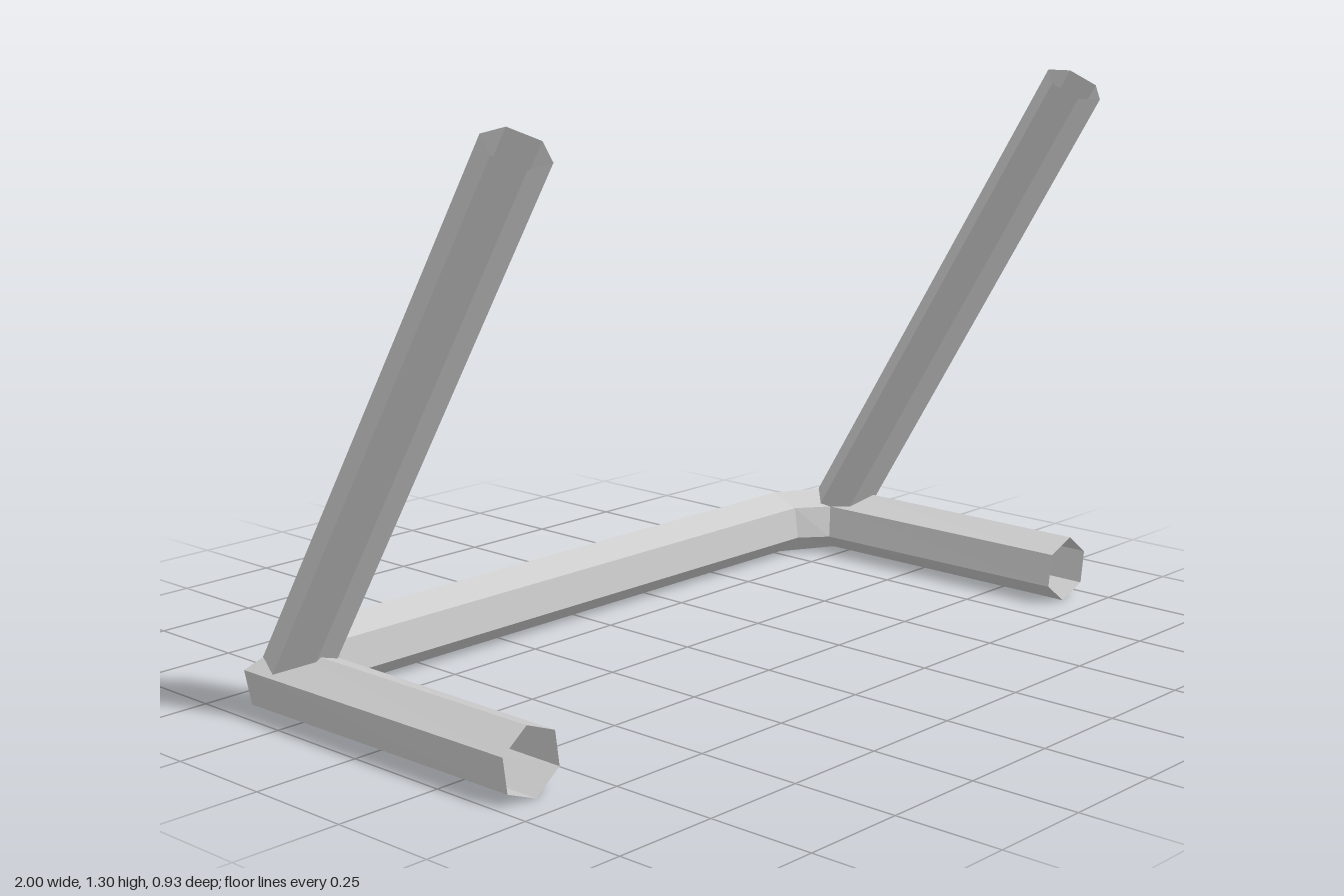
import * as THREE from 'three';

const V = (x, y, z) => new THREE.Vector3(x, y, z);

// Six-sided ring spanned by two axis vectors (their lengths are the radii)
function hexRing(center, u, v, startDeg) {
  return Array.from({ length: 6 }, (_, k) => {
    const a = THREE.MathUtils.degToRad(startDeg + 60 * k);
    return center.clone().addScaledVector(u, Math.cos(a)).addScaledVector(v, Math.sin(a));
  });
}

// Open tube skinned over consecutive rings, with faceted shading
function skin(rings, material, name) {
  const points = [];
  for (let i = 0; i < rings.length - 1; i++) {
    for (let j = 0; j < 6; j++) {
      const k = (j + 1) % 6;
      const [a, b, c, d] = [rings[i][j], rings[i][k], rings[i + 1][k], rings[i + 1][j]];
      points.push(a, b, c, a, c, d);
    }
  }
  const geometry = new THREE.BufferGeometry().setFromPoints(points);
  geometry.computeVertexNormals();
  const mesh = new THREE.Mesh(geometry, material);
  mesh.name = name;
  return mesh;
}

export function createModel() {
  const group = new THREE.Group();
  group.name = 'tubeFrame';
  const material = new THREE.MeshStandardMaterial({
    color: 0xcccccc, flatShading: true, side: THREE.DoubleSide,
  });

  // U-shaped base tube: foot, chamfered corner, rear bar, corner, foot
  const r = 0.079;
  const half = (s) => [
    [V(s * 0.915, 0.078, 0.43), V(s * r * 1.04, 0, 0)],
    [V(s * 0.917, 0.078, -0.31), V(s * r * 1.13, 0, -r * 0.68)],
    [V(s * 0.77, 0.078, -0.387), V(0, 0, -r)],
  ];
  const stations = [...half(-1), ...half(1).reverse()];
  const up = V(0, r, 0);
  group.add(skin(stations.map(([c, out]) => hexRing(c, out, up, 22)), material, 'baseTube'));

  // Uprights leaning forward from the rear corners
  const front = V(0, -0.517, 0.856).multiplyScalar(0.07);
  for (const s of [-1, 1]) {
    const out = V(s * 0.078, 0, 0);
    const rings = [V(s * 0.913, 0.08, -0.31), V(s * 0.913, 1.27, 0.41)]
      .map((c) => hexRing(c, out, front, 10));
    if (s > 0) rings.reverse();
    group.add(skin(rings, material, s > 0 ? 'leftUpright' : 'rightUpright'));
  }
  return group;
}
